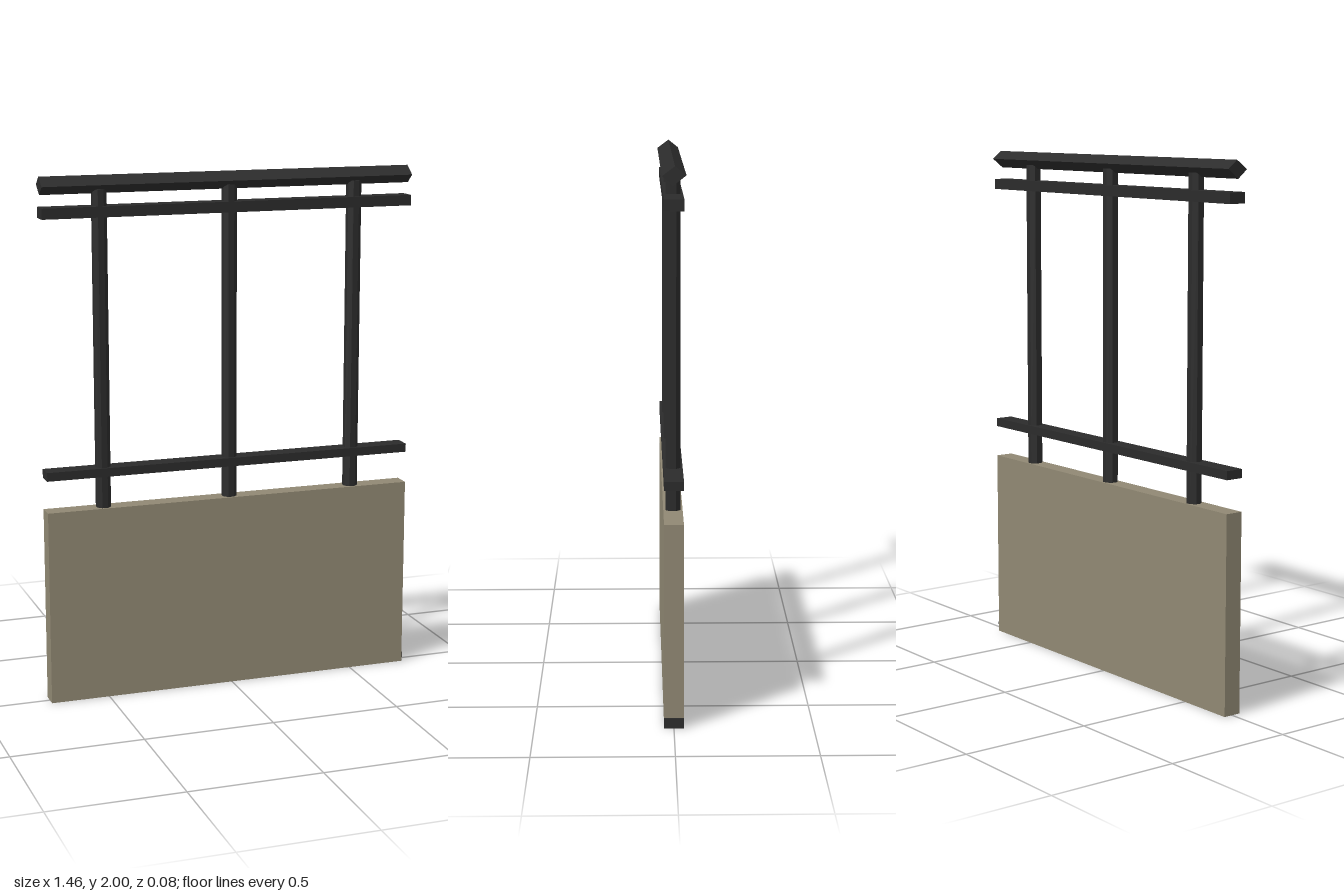
import * as THREE from 'three';

export function createModel() {
  const model = new THREE.Group();
  model.name = 'railing';
  const metal = new THREE.MeshStandardMaterial({ color: 0x2b2b2b });
  metal.name = 'dark metal';
  const stone = new THREE.MeshStandardMaterial({ color: 0x908873 });
  stone.name = 'taupe panel';
  metal.flatShading = true;

  const length = 1.456;
  const add = (name, geometry, material, x, y, z) => {
    const mesh = new THREE.Mesh(geometry, material);
    mesh.name = name;
    mesh.position.set(x, y, z);
    model.add(mesh);
  };
  const bar = (name, y0, y1, depth, material) =>
    add(name, new THREE.BoxGeometry(length, y1 - y0, depth), material, 0, (y0 + y1) / 2, 0);

  // solid lower panel and the two horizontal rails
  bar('panel', 0, 0.75, 0.07, stone);
  bar('lowerRail', 0.873, 0.906, 0.07, metal);
  bar('upperRail', 1.848, 1.888, 0.07, metal);

  // dark end of the base rail, showing on one end of the panel
  add('baseRailEnd', new THREE.BoxGeometry(0.002, 0.038, 0.07), metal, length / 2 + 0.001, 0.019, 0);

  // octagonal posts
  for (const x of [-0.504, 0, 0.504]) {
    const post = new THREE.CylinderGeometry(0.029, 0.029, 1.21, 8);
    post.rotateY(Math.PI / 8);
    add('post', post, metal, x, 1.345, 0);
  }

  // diamond-section handrail, extruded along x
  const diamond = new THREE.Shape([
    new THREE.Vector2(0.042, 1.969), new THREE.Vector2(0.003, 2),
    new THREE.Vector2(-0.042, 1.966), new THREE.Vector2(-0.003, 1.934),
  ]);
  const handrail = new THREE.ExtrudeGeometry(diamond, { depth: length, bevelEnabled: false });
  handrail.translate(0, 0, -length / 2);
  handrail.rotateY(Math.PI / 2);
  add('handrail', handrail, metal, 0, 0, 0);

  return model;
}
